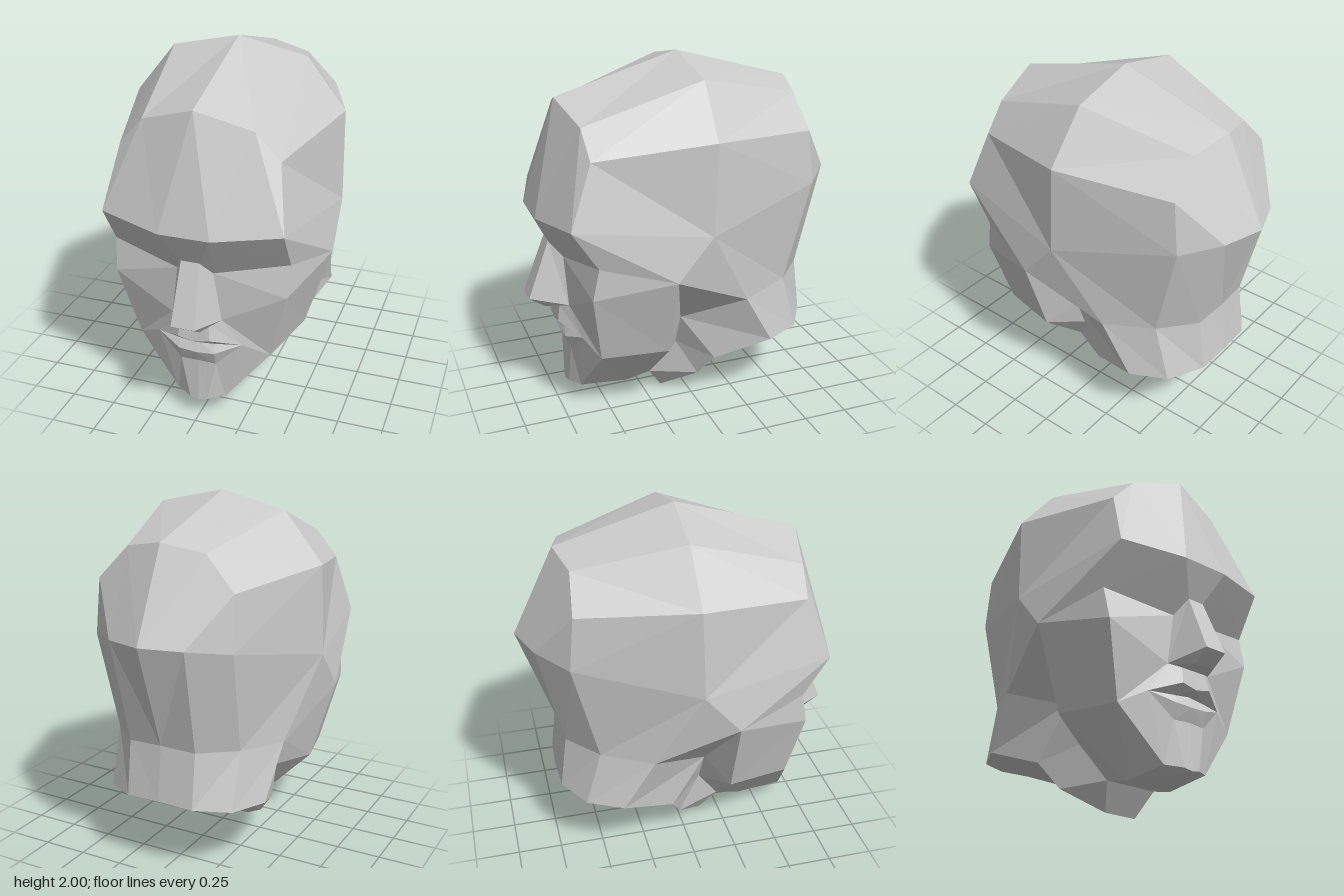
import * as THREE from 'three';

const grey = new THREE.MeshStandardMaterial({ color: 0xcccccc, flatShading: true, side: THREE.DoubleSide });

// Shared corners of the +x half
const hairMid = [0, 1.8, 0.69], hairIn = [0.3, 1.705, 0.63], hairOut = [0.43, 1.56, 0.62];
const browMid = [0, 1.19, 0.855], browIn = [0.14, 1.19, 0.855], browOut = [0.49, 1.22, 0.75];
const crownSide = [0.6, 1.64, 0], temple = [0.61, 1.14, 0.02];
const backTop = [0.4, 1.59, -0.62], backTopIn = [0.23, 1.77, -0.6], backTopMid = [0, 1.815, -0.655];
const backSide = [0.41, 1.29, -0.65], napeSide = [0.38, 0.72, -0.51];
const bridgeMid = [0, 1.015, 0.77], bridge = [0.05, 1.015, 0.77], eyeIn = [0.1, 0.93, 0.7], eyeOut = [0.49, 1, 0.61];
const nostril = [0.14, 0.65, 0.69], noseBaseMid = [0, 0.63, 0.73], noseBase = [0.08, 0.63, 0.73];
const cheek = [0.48, 0.82, 0.645], cheekBack = [0.615, 0.91, 0.22];
const jawFront = [0.38, 0.415, 0.58], jawAngle = [0.47, 0.44, 0.22];
const jawBackTop = [0.33, 0.56, 0.1], jawBackLow = [0.24, 0.36, 0.095];
const lipCorner = [0.24, 0.49, 0.65], creaseMid = [0, 0.365, 0.685], crease = [0.1, 0.36, 0.68];
const chinMid = [0, 0.11, 0.695], chinIn = [0.05, 0.12, 0.69], chinOut = [0.14, 0.13, 0.64];
const throatMid = [0, 0.145, 0.23], throat = [0.16, 0.145, 0.23];
const neckSide = [0.5, 0.69, -0.23], neckBack = [0.475, 0.395, -0.4];
const neckLow = [0.37, 0.28, -0.095], neckLower = [0.27, 0.14, -0.03];
const neckTip = [0.1, 0.005, 0.14], neckTipMid = [0, 0.005, 0.14];
const napeLow = [0.38, 0.4, -0.6], napeLowIn = [0.2, 0.42, -0.715], napeLowMid = [0, 0.43, -0.725];

const onCentre = ([, y, z]) => [0, y, z];

// Skins each patch of rows with flat triangles and mirrors it; repeated corners make triangles
function mirroredPart(name, ...patches) {
  const positions = [];
  const triangle = (...corners) => {
    const [a, b, c] = corners;
    if (a === b || b === c || a === c) return;
    positions.push(...a, ...b, ...c);
    for (const [x, y, z] of [a, c, b]) positions.push(-x, y, z);
  };
  for (const rows of patches) {
    for (let r = 0; r + 1 < rows.length; r++) {
      const top = rows[r], low = rows[r + 1];
      for (let i = 0; i + 1 < top.length; i++) {
        triangle(top[i], low[i], low[i + 1]);
        triangle(top[i], low[i + 1], top[i + 1]);
      }
    }
  }
  const geometry = new THREE.BufferGeometry();
  geometry.setAttribute('position', new THREE.Float32BufferAttribute(positions, 3));
  geometry.computeVertexNormals();
  const mesh = new THREE.Mesh(geometry, grey);
  mesh.name = name;
  return mesh;
}

export function createModel() {
  const head = new THREE.Group();
  head.name = 'head';

  // Crown from back to front, then the sides above the ears
  head.add(mirroredPart('cranium',
    [
      [backTopMid, backTopIn, backTop],
      [[0, 2, 0], [0.38, 1.915, -0.01], crownSide],
      [hairMid, hairIn, hairOut],
    ],
    [[hairOut, crownSide, backTop], [browOut, temple, backSide]],
  ));

  // Back of the skull down to the nape, wrapping round from the side
  head.add(mirroredPart('backOfHead',
    [
      [backTop, backTopIn, backTopMid],
      [backSide, [0.22, 1.32, -0.81], [0, 1.33, -0.89]],
      [napeSide, [0.2, 0.73, -0.675], [0, 0.74, -0.69]],
      [napeLow, napeLowIn, napeLowMid],
    ],
    [[temple, backSide], [neckSide, napeSide], [neckBack, napeLow]],
  ));

  // Forehead and the overhanging brow
  head.add(mirroredPart('forehead', [[hairMid, hairIn, hairOut], [browMid, browIn, browOut]]));
  head.add(mirroredPart('brow',
    [[browMid, browIn, browIn, browOut], [bridgeMid, bridge, eyeIn, eyeOut]],
  ));

  // Nose ridge, flanks and underside
  head.add(mirroredPart('nose', [
    [bridgeMid, bridge, eyeIn],
    [[0, 0.69, 0.895], [0.065, 0.69, 0.895], nostril],
    [[0, 0.63, 0.81], [0.06, 0.63, 0.81], nostril],
    [noseBaseMid, noseBase, nostril],
  ]));

  // Upper lip, mouth line, lower lip
  head.add(mirroredPart('mouth', [
    [noseBaseMid, noseBase, nostril],
    [[0, 0.52, 0.745], [0.09, 0.54, 0.745], lipCorner],
    [[0, 0.5, 0.69], [0.1, 0.49, 0.685], lipCorner],
    [[0, 0.435, 0.715], [0.1, 0.44, 0.71], lipCorner],
    [creaseMid, crease, lipCorner],
  ]));

  // Front cheek planes and the side planes behind them
  head.add(mirroredPart('cheeks',
    [[eyeIn, eyeOut], [nostril, cheek], [lipCorner, jawFront]],
    [[browOut, temple], [eyeOut, cheekBack], [cheek, cheekBack], [jawFront, jawAngle]],
  ));

  // Chin, jaw sides, jaw back and underside
  head.add(mirroredPart('jaw',
    [[creaseMid, crease, lipCorner, jawFront], [chinMid, chinIn, chinOut, chinOut]],
    [[jawFront, jawAngle, jawAngle], [chinOut, [0.15, 0.11, 0.37], throat]],
    [[cheekBack, cheekBack], [jawAngle, jawBackTop], [jawAngle, jawBackLow], [throat, throat]],
    [
      [chinMid, chinIn, chinOut],
      [[0, 0.1, 0.62], [0.05, 0.1, 0.62], chinOut],
      [[0, 0.11, 0.37], [0.07, 0.11, 0.37], [0.15, 0.11, 0.37]],
      [throatMid, [0.08, 0.145, 0.23], throat],
    ],
  ));

  // Neck behind the jaw and its sloping cut base
  head.add(mirroredPart('neck',
    [[temple, temple], [cheekBack, neckSide], [jawBackTop, neckSide]],
    [[jawBackTop, jawBackTop, neckSide], [jawBackLow, neckLow, neckBack]],
    [[jawBackLow, neckLow], [throat, neckLower], [neckTip, neckTip]],
    [[throatMid, throat], [neckTipMid, neckTip]],
  ));
  const baseEdge = [neckTip, neckLower, neckLow, neckBack];
  head.add(mirroredPart('neckBase',
    baseEdge.map((p) => [onCentre(p), p]),
    [[onCentre(neckBack), neckBack, neckBack], [napeLowMid, napeLowIn, napeLow]],
  ));

  return head;
}
